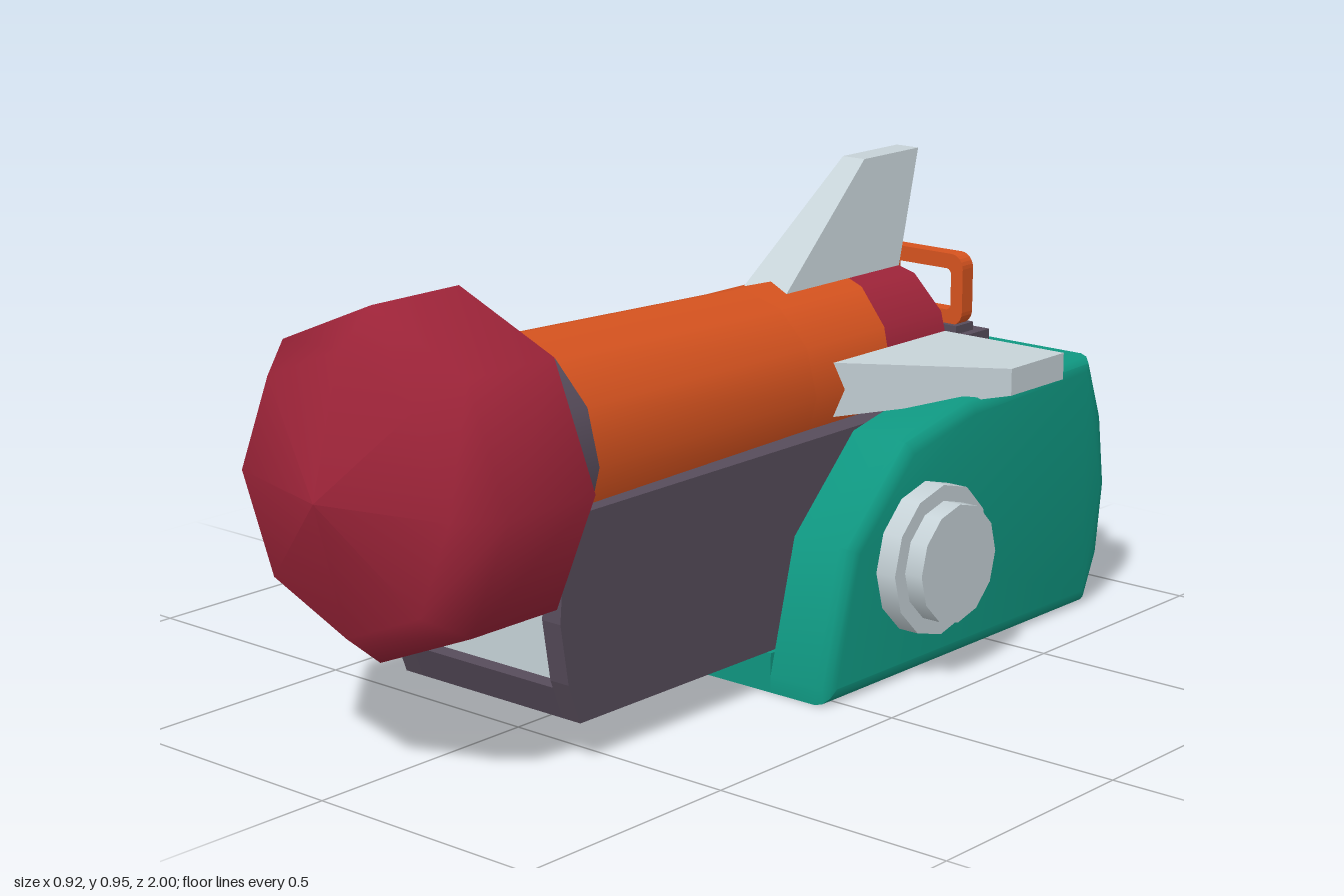
import * as THREE from 'three';
import { toCreasedNormals } from 'three/addons/utils/BufferGeometryUtils.js';

const mat = (name, color, side = THREE.FrontSide) => {
  const m = new THREE.MeshStandardMaterial({ color, side });
  m.name = name;
  return m;
};

export function createModel() {
  const green = mat('green', 0x0f9680);
  const dark = mat('dark purple grey', 0x574c5b);
  const light = mat('light grey', 0xc6d2d7);
  const orange = mat('orange', 0xd6531f, THREE.DoubleSide);
  const red = mat('red', 0x9e2439, THREE.DoubleSide);
  const maroon = mat('dark maroon', 0x4a2630);
  const cyan = mat('cyan', 0x1fa2b8);

  const root = new THREE.Group();
  const AXIS = 0.545; // height of the tube axis

  const add = (name, geo, material, x = 0, y = 0, z = 0, parent = root) => {
    const m = new THREE.Mesh(geo, material);
    m.name = name;
    m.position.set(x, y, z);
    parent.add(m);
    return m;
  };
  const box = (name, w, h, d, material, x, y, z) =>
    add(name, new THREE.BoxGeometry(w, h, d), material, x, y, z);

  // Extrude a side profile of [z, y] points from x0 to x1
  const sideExtrude = (pts, x0, x1, bevel = 0) => {
    const shape = new THREE.Shape(pts.map(([z, y]) => new THREE.Vector2(-z, y)));
    const geo = new THREE.ExtrudeGeometry(shape, {
      depth: x1 - x0 - 2 * bevel, bevelEnabled: bevel > 0, bevelSize: bevel,
      bevelThickness: bevel, bevelOffset: -bevel, bevelSegments: 3,
    });
    geo.translate(0, 0, x0 + bevel);
    return geo.rotateY(Math.PI / 2);
  };

  // Base: two rounded side walls around a slotted centre block
  const back = [[-0.83, 0.535], [-0.88, 0.4], [-0.9, 0.25], [-0.88, 0.1], [-0.835, 0]];
  const wall = [[0.04, 0], [0.04, 0.035], [-0.03, 0.3], [-0.21, 0.475], [-0.42, 0.52],
    [-0.52, 0.525], ...back];
  for (const s of [1, -1]) {
    const geo = s > 0 ? sideExtrude(wall, 0.17, 0.375, 0.03) : sideExtrude(wall, -0.375, -0.17, 0.03);
    const p = geo.attributes.position;
    // keep the bevel on the outside only
    for (let i = 0; i < p.count; i++) if (p.getX(i) * s < 0.235) p.setX(i, 0.235 * s);
    geo.computeVertexNormals();
    add(s > 0 ? 'leftBaseWall' : 'rightBaseWall', toCreasedNormals(geo, 0.6), green);
  }
  add('baseCentre', toCreasedNormals(sideExtrude(
    [[0.04, 0], [0.04, 0.08], [-0.68, 0.08], [-0.68, 0.53], ...back], -0.235, 0.235), 0.5), green);

  // Cradle arm: two cheeks, a core and a light panel in the front recess
  const arm = [[0.57, 0.08], [0.6, 0.16], [0.62, 0.28], [0.61, 0.4], [0.57, 0.475],
    [-0.66, 0.48], [-0.66, 0.08]];
  for (const s of [1, -1]) {
    add('armCheek', sideExtrude(arm, s > 0 ? 0.18 : -0.225, s > 0 ? 0.225 : -0.18), dark);
  }
  add('armCore', sideExtrude([[0.57, 0.08], [0.595, 0.145], [0.55, 0.145], [0.55, 0.475],
    [-0.66, 0.48], [-0.66, 0.08]], -0.18, 0.18), dark);
  box('armFrontPanel', 0.36, 0.32, 0.009, light, 0, 0.305, 0.555);

  // Axle hubs
  for (const s of [1, -1]) {
    for (const [name, r, x] of [['hubFlange', 0.152, 0.42], ['hubCap', 0.12, 0.46]]) {
      const geo = new THREE.CylinderGeometry(r, r, x - 0.34, 12);
      geo.rotateZ(Math.PI / 2);
      add(name, geo, light, s * (x + 0.34) / 2, 0.236, -0.26);
    }
  }

  // Tapered tube, cut into coloured sections; the red one has a slanted front edge
  const radius = (z) => THREE.MathUtils.clamp(0.19 + (z + 0.15) * 0.035, 0.19, 0.216);
  const SLANT = 0.21;
  const tube = (name, z0, z1, material, slant0 = 0, slant1 = 0) => {
    const geo = new THREE.CylinderGeometry(radius(z1), radius(z0), z1 - z0, 12, 1, true);
    geo.rotateX(Math.PI / 2).translate(0, 0, (z0 + z1) / 2);
    const p = geo.attributes.position;
    for (let i = 0; i < p.count; i++) {
      const k = p.getZ(i) > (z0 + z1) / 2 ? slant1 : slant0;
      p.setZ(i, p.getZ(i) + k * p.getX(i));
    }
    add(name, geo, material, 0, AXIS, 0);
  };
  tube('tubeTail', -0.585, -0.43, red, 0, SLANT);
  tube('tubeRear', -0.43, -0.15, orange, SLANT, 0);
  tube('tubeFront', -0.15, 0.5, orange);
  tube('tubeBand', 0.5, 0.555, dark);
  tube('tubeNeck', 0.555, 0.65, orange);

  // Tail opening: red rim, inner wall and dark recessed disc
  add('tailRim', new THREE.RingGeometry(0.145, 0.19, 12), red, 0, AXIS, -0.585);
  add('tailInnerWall', new THREE.CylinderGeometry(0.145, 0.145, 0.03, 12, 1, true)
    .rotateX(Math.PI / 2), red, 0, AXIS, -0.57);
  add('tailDisc', new THREE.CircleGeometry(0.146, 12).rotateY(Math.PI), dark, 0, AXIS, -0.56);

  // Eight-sided nose with a dark back face
  const nose = new THREE.LatheGeometry([[0.308, 0.618], [0.327, 0.635], [0.327, 0.85],
    [0.262, 0.93], [0, 1]].map(([r, z]) => new THREE.Vector2(r, z)), 8);
  add('nose', nose.rotateX(Math.PI / 2), red, 0, AXIS, 0);
  add('noseBack', new THREE.RingGeometry(0.15, 0.309, 8).rotateZ(Math.PI / 8 * 4)
    .rotateY(Math.PI), maroon, 0, AXIS, 0.617);

  // Three swept fins, thick at the root and thin at the tip
  const finProfile = [[-0.22, 0.175], [-0.5, 0.404], [-0.68, 0.404], [-0.585, 0.175]];
  [['topFin', 0], ['leftFin', -Math.PI / 2], ['rightFin', Math.PI / 2]].forEach(([name, a]) => {
    const geo = sideExtrude(finProfile, -0.055, 0.055);
    const p = geo.attributes.position;
    for (let i = 0; i < p.count; i++) if (p.getY(i) > 0.3) p.setX(i, p.getX(i) * 0.5);
    geo.computeVertexNormals();
    add(name, geo, light, 0, AXIS, 0).rotation.z = a;
  });

  // Carry handle on a stepped foot
  box('handleFoot', 0.25, 0.035, 0.11, dark, 0, 0.54, -0.755);
  box('handleStep', 0.21, 0.02, 0.06, dark, 0, 0.565, -0.75);
  const roundRect = (path, w, h, r) => {
    path.absarc(w - r, h - r, r, 0, Math.PI / 2);
    path.absarc(r - w, h - r, r, Math.PI / 2, Math.PI);
    path.absarc(r - w, r - h, r, Math.PI, Math.PI * 1.5);
    path.absarc(w - r, r - h, r, Math.PI * 1.5, Math.PI * 2);
    path.closePath();
    return path;
  };
  const loop = roundRect(new THREE.Shape(), 0.11, 0.076, 0.03);
  loop.holes.push(roundRect(new THREE.Path(), 0.08, 0.044, 0.012));
  add('handle', new THREE.ExtrudeGeometry(loop, { depth: 0.036, bevelEnabled: false, curveSegments: 3 }),
    orange, 0, 0.648, -0.768);

  // Rear vent: curved frame, recessed core and two glowing strips
  const vent = (d) => [[-0.84, 0.435 - d], [-0.97 + d, 0.435 - d], [-0.99 + d, 0.345],
    [-1 + d, 0.25], [-0.99 + d, 0.155], [-0.97 + d, 0.07 + d], [-0.84, 0.07 + d]];
  for (const s of [1, -1]) {
    add('ventCheek', sideExtrude(vent(0), s > 0 ? 0.212 : -0.235, s > 0 ? 0.235 : -0.212), dark);
  }
  add('ventCore', sideExtrude(vent(0.02), -0.212, 0.212), dark);
  box('ventTopLip', 0.424, 0.022, 0.13, dark, 0, 0.424, -0.905);
  box('ventBottomLip', 0.424, 0.022, 0.13, dark, 0, 0.081, -0.905);
  for (const [y, tilt] of [[0.3, -0.105], [0.155, 0.15]]) {
    const z = y > 0.2 ? -0.976 : -0.971;
    box('ventStrip', 0.424, 0.085, 0.009, cyan, 0, y, z - 0.003).rotation.x = tilt;
  }

  return root;
}
